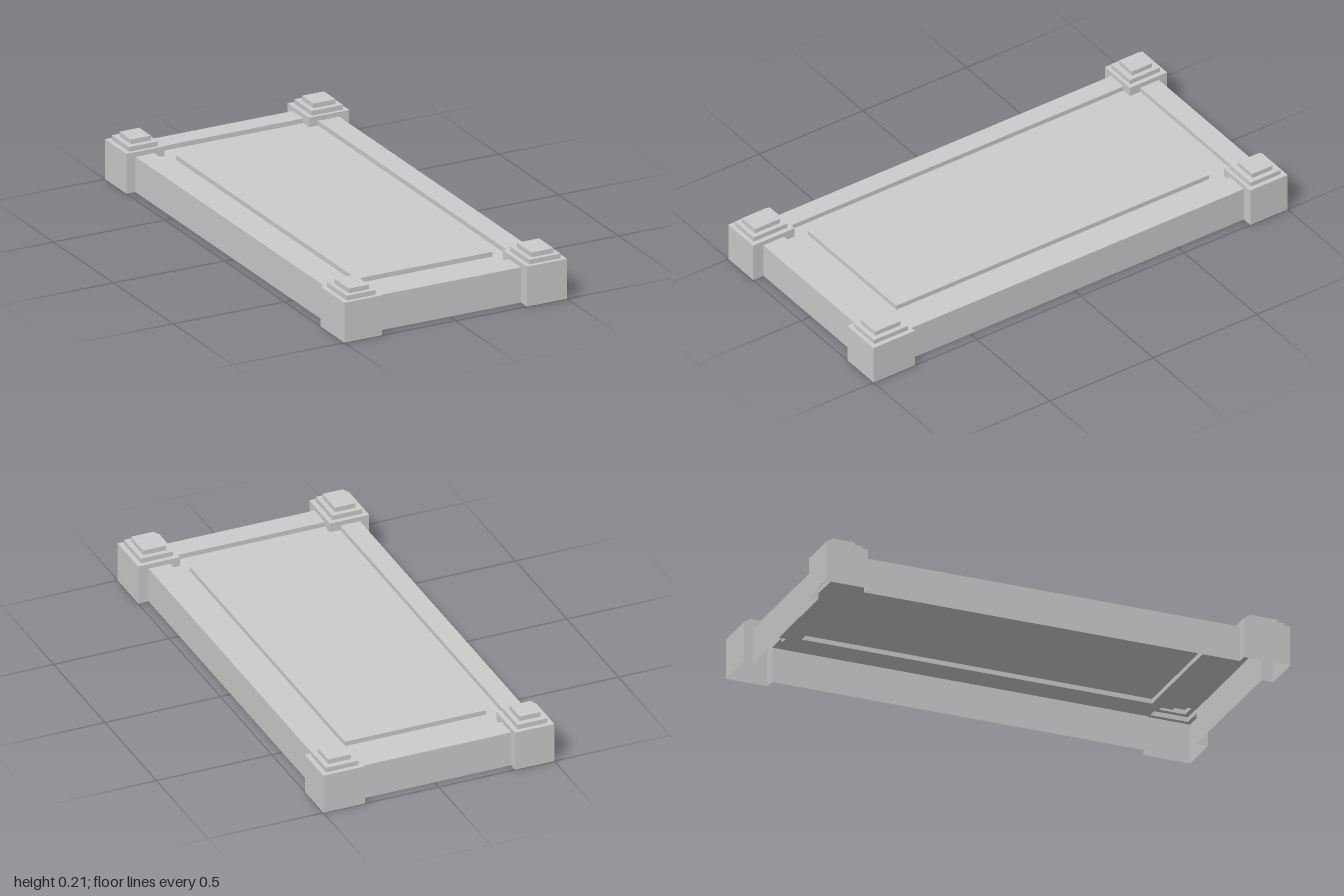
import * as THREE from 'three';

const material = new THREE.MeshStandardMaterial({ color: 0xcccccc, flatShading: true, side: THREE.DoubleSide });

// The plinth is one hollow stepped shell, open underneath. Each part is a
// rectangle in plan with a top height; a later part replaces what it covers.
const parts = [];
const addPart = (name, x0, x1, z0, z1, height, group) =>
  parts.push({ name, x0, x1, z0, z1, height, group, corners: [] });

// Rim, sunken channel inside it, and the raised slab in the middle
addPart('rim', -0.46, 0.455, -0.96, 0.95, 0.15);
addPart('channel', -0.375, 0.36, -0.87, 0.85, 0.13);
addPart('raisedSlab', -0.31, 0.3, -0.76, 0.75, 0.15);

// Corner posts, each with a two-step cap: [inner, outer] extents per tier
const tiers = [
  { name: 'post', height: 0.17, left: [-0.5, -0.33], right: [0.32, 0.5], back: [-1, -0.82], front: [0.8, 1] },
  { name: 'capLower', height: 0.19, left: [-0.48, -0.35], right: [0.34, 0.48], back: [-0.98, -0.835], front: [0.82, 0.983] },
  { name: 'capUpper', height: 0.21, left: [-0.46, -0.37], right: [0.36, 0.459], back: [-0.955, -0.858], front: [0.842, 0.963] },
];
for (const end of ['front', 'back']) {
  // plan left (-x) is the model's own right
  for (const [side, label] of [['left', 'Right'], ['right', 'Left']]) {
    for (const t of tiers) addPart(t.name, ...t[side], ...t[end], t.height, end + label + 'Post');
  }
}

// Topmost part at a point of the plan
const partAt = (x, z) =>
  parts.findLast((p) => x > p.x0 && x < p.x1 && z > p.z0 && z < p.z1);

const sortedCuts = (keys) =>
  [...new Set(parts.flatMap((p) => keys.map((k) => p[k])))].sort((a, b) => a - b);

// Corners run anticlockwise seen from outside
const addQuad = (part, a, b, c, d) => part.corners.push(...a, ...b, ...c, ...a, ...c, ...d);

function buildShell() {
  const xs = sortedCuts(['x0', 'x1']);
  const zs = sortedCuts(['z0', 'z1']);
  const cell = (i, j) => partAt((xs[i] + xs[i + 1]) / 2, (zs[j] + zs[j + 1]) / 2);

  for (let i = 0; i < xs.length - 1; i++) {
    for (let j = 0; j < zs.length - 1; j++) {
      const part = cell(i, j);
      if (!part) continue;
      const h = part.height;
      const [x0, x1, z0, z1] = [xs[i], xs[i + 1], zs[j], zs[j + 1]];
      // Top surface
      addQuad(part, [x0, h, z1], [x1, h, z1], [x1, h, z0], [x0, h, z0]);
      // Walls down to each lower neighbour, or to the ground
      const edges = [
        [0, 1, x0, z1, x1, z1],
        [1, 0, x1, z1, x1, z0],
        [0, -1, x1, z0, x0, z0],
        [-1, 0, x0, z0, x0, z1],
      ];
      for (const [di, dj, ax, az, bx, bz] of edges) {
        const low = cell(i + di, j + dj)?.height ?? 0;
        if (low < h) addQuad(part, [ax, low, az], [bx, low, bz], [bx, h, bz], [ax, h, az]);
      }
    }
  }
}

export function createModel() {
  const model = new THREE.Group();
  model.name = 'plinth';
  parts.forEach((p) => { p.corners = []; });
  buildShell();

  const groups = {};
  for (const part of parts) {
    const geometry = new THREE.BufferGeometry();
    geometry.setAttribute('position', new THREE.Float32BufferAttribute(part.corners, 3));
    geometry.computeVertexNormals();
    const mesh = new THREE.Mesh(geometry, material);
    mesh.name = part.name;
    let parent = model;
    if (part.group) {
      if (!groups[part.group]) {
        groups[part.group] = new THREE.Group();
        groups[part.group].name = part.group;
        model.add(groups[part.group]);
      }
      parent = groups[part.group];
    }
    parent.add(mesh);
  }
  return model;
}
